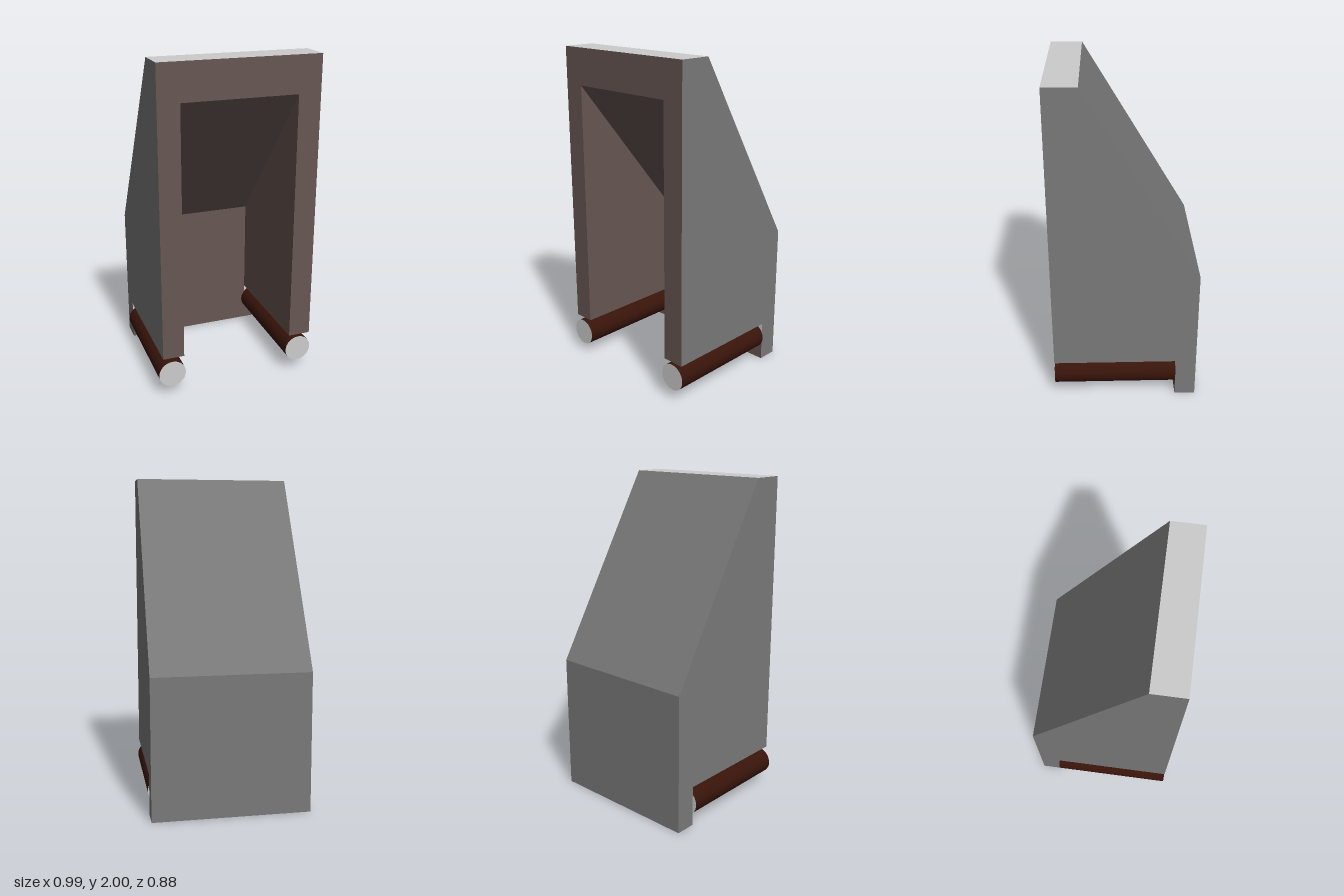
import * as THREE from 'three';

const LIGHT = 0xcccccc, GREY = 0x7a7a7a, BROWN = 0x675652, DARK = 0x38140a;
const material = (color, flatShading = false) => new THREE.MeshStandardMaterial({ color, flatShading });

// Flat panel: a fan from the first corner, counter-clockwise as seen from its face.
function panel(name, color, pts, flip = false) {
  const p = flip ? [pts[0], ...pts.slice(1).reverse()] : pts;
  const tri = [];
  for (let i = 1; i < p.length - 1; i++) tri.push(...p[0], ...p[i], ...p[i + 1]);
  const g = new THREE.BufferGeometry();
  g.setAttribute('position', new THREE.Float32BufferAttribute(tri, 3));
  g.computeVertexNormals();
  const mesh = new THREE.Mesh(g, material(color, true));
  mesh.name = name;
  return mesh;
}

// Upright panel facing the front
const facing = (name, color, x0, x1, y0, y1, z) =>
  panel(name, color, [[x0, y0, z], [x1, y0, z], [x1, y1, z], [x0, y1, z]]);

// Panel across the width, from edge a = [y, z] to edge b
const across = (name, color, x0, x1, a, b) =>
  panel(name, color, [[x0, ...a], [x1, ...a], [x1, ...b], [x0, ...b]]);

export function createModel() {
  const model = new THREE.Group();
  model.name = 'hollowShell';

  const L = 0.488, R = -0.47;            // outer sides
  const inL = 0.351, inR = -0.34;        // inner sides
  const front = 0.4375, back = -0.4375, inner = -0.312, ridge = 0.243;
  const top = 2, bend = 0.855, foot = 0.25, openTop = 1.78;

  // Dark grey outer skin with a light top
  const skin = new THREE.Group();
  skin.name = 'outerSkin';
  skin.add(
    across('topFace', LIGHT, R, L, [top, front], [top, ridge]),
    across('slopedBack', GREY, R, L, [top, ridge], [bend, back]),
    across('backPanel', GREY, R, L, [bend, back], [0, back]),
    across('backPanelBottom', GREY, R, L, [0, back], [0, inner]),
  );

  // Brown front frame and hollow inside
  const lining = new THREE.Group();
  lining.name = 'lining';
  lining.add(
    facing('frontLintel', BROWN, R, L, openTop, top, front),
    across('slopedCeiling', BROWN, inR, inL, [bend, inner], [openTop, front]),
    facing('innerBack', BROWN, inR, inL, 0, bend, inner),
  );

  // Side walls, their edges and the rollers, left then right
  const profile = [[foot, inner], [0, inner], [0, back], [bend, back], [top, ridge], [top, front], [foot, front]];
  const hollow = [[foot, front], [openTop, front], [bend, inner], [foot, inner]];
  for (const [side, xo, xi, rx, ry] of [['left', L, inL, 0.413, 0.15], ['right', R, inR, -0.414, 0.141]]) {
    const flip = side === 'right';
    const x0 = Math.min(xo, xi), x1 = Math.max(xo, xi);
    skin.add(
      panel(side + 'OuterWall', GREY, profile.map(p => [xo, ...p]), flip),
      across(side + 'WallBottom', GREY, x0, x1, [foot, inner], [foot, front]),
      facing(side + 'StepUpper', LIGHT, x0, x1, 0.14, foot, inner),
    );
    lining.add(
      panel(side + 'InnerWall', BROWN, hollow.map(p => [xi, ...p]).reverse(), !flip),
      facing(side + 'FrontPost', BROWN, x0, x1, foot, openTop, front),
      facing(side + 'StepLower', BROWN, x0, x1, 0, 0.14, inner),
    );

    const roller = new THREE.Mesh(
      new THREE.CylinderGeometry(0.083, 0.083, front - inner, 32),
      [material(DARK), material(LIGHT), material(LIGHT)],
    );
    roller.name = side + 'Roller';
    roller.rotation.x = Math.PI / 2;
    roller.position.set(rx, ry, (front + inner) / 2);
    model.add(roller);
  }

  model.add(skin, lining);
  return model;
}
